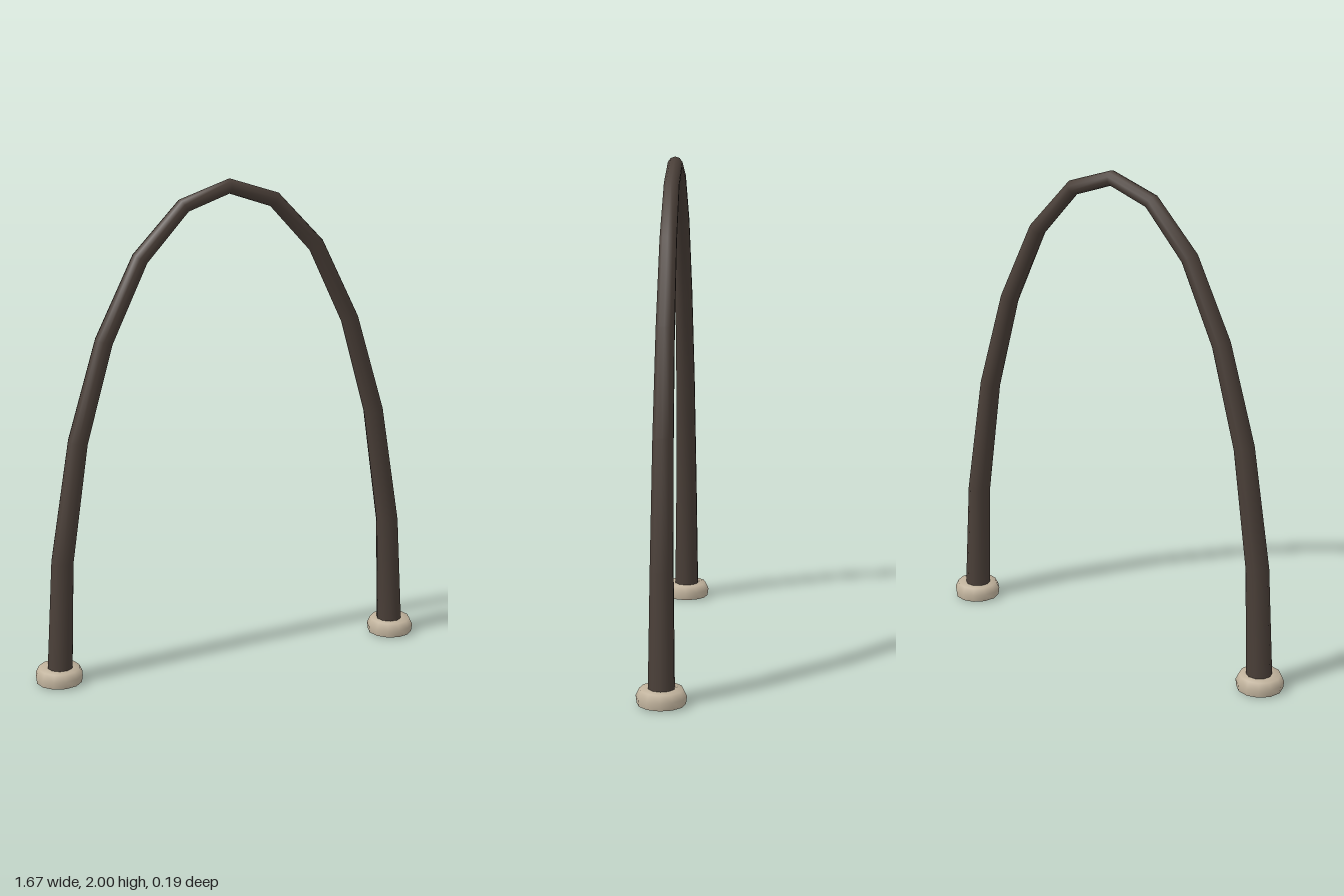
import * as THREE from 'three';

const SIDES = 10;

// Tapered tube swept along a path in the XY plane; each path point is [x, y, radius]
function taperedTube(path) {
  const pos = [], index = [];
  const last = path.length - 1;
  const ring = (i) => {
    const [x, y, r] = path[i];
    const a = path[Math.max(i - 1, 0)], b = path[Math.min(i + 1, last)];
    const t = new THREE.Vector2(b[0] - a[0], b[1] - a[1]).normalize();
    for (let j = 0; j < SIDES; j++) {
      const ang = (j / SIDES) * Math.PI * 2;
      const n = r * Math.cos(ang);
      pos.push(x - t.y * n, y + t.x * n, r * Math.sin(ang));
    }
  };
  path.forEach((_, i) => ring(i));
  for (let i = 0; i < last; i++) {
    for (let j = 0; j < SIDES; j++) {
      const k = (j + 1) % SIDES;
      const a = i * SIDES + j, b = i * SIDES + k;
      index.push(a, b, a + SIDES, b, b + SIDES, a + SIDES);
    }
  }
  // Flat end caps with their own vertices
  for (const end of [0, last]) {
    const start = pos.length / 3;
    ring(end);
    for (let j = 1; j < SIDES - 1; j++) {
      if (end === 0) index.push(start, start + j + 1, start + j);
      else index.push(start, start + j, start + j + 1);
    }
  }
  const geo = new THREE.BufferGeometry();
  geo.setAttribute('position', new THREE.Float32BufferAttribute(pos, 3));
  geo.setIndex(index);
  geo.computeVertexNormals();
  return geo;
}

export function createModel() {
  const model = new THREE.Group();
  const darkBrown = new THREE.MeshStandardMaterial({ color: 0x4a3f38 });
  darkBrown.name = 'darkBrown';
  const paleStone = new THREE.MeshStandardMaterial({ color: 0xc0b29c });
  paleStone.name = 'paleStone';

  // Arch: one leg listed from foot to just below the crown, then mirrored
  const leg = [
    [-0.735, 0.003, 0.053],
    [-0.712, 0.51, 0.046],
    [-0.637, 1.0, 0.041],
    [-0.523, 1.395, 0.037],
    [-0.371, 1.71, 0.034],
    [-0.19, 1.905, 0.031],
  ];
  const otherLeg = leg.map(([x, y, r]) => [-x, y, r]).reverse();
  const arch = new THREE.Mesh(taperedTube([...leg, [0, 1.97, 0.03], ...otherLeg]), darkBrown);
  arch.name = 'arch';
  model.add(arch);

  // Rounded foot collars
  const profile = [[0.093, 0.005], [0.097, 0.035], [0.084, 0.063], [0.045, 0.064]]
    .map(([r, y]) => new THREE.Vector2(r, y));
  const collarGeo = new THREE.LatheGeometry(profile, 12);
  const soleGeo = new THREE.CircleGeometry(0.093, 12).rotateX(Math.PI / 2);
  for (const [side, name] of [[1, 'left'], [-1, 'right']]) {
    const foot = new THREE.Group();
    foot.name = name + 'Foot';
    const collar = new THREE.Mesh(collarGeo, paleStone);
    collar.name = name + 'Collar';
    const sole = new THREE.Mesh(soleGeo, paleStone);
    sole.name = name + 'Sole';
    sole.position.y = 0.005;
    foot.add(collar, sole);
    foot.position.x = side * 0.737;
    model.add(foot);
  }
  return model;
}
